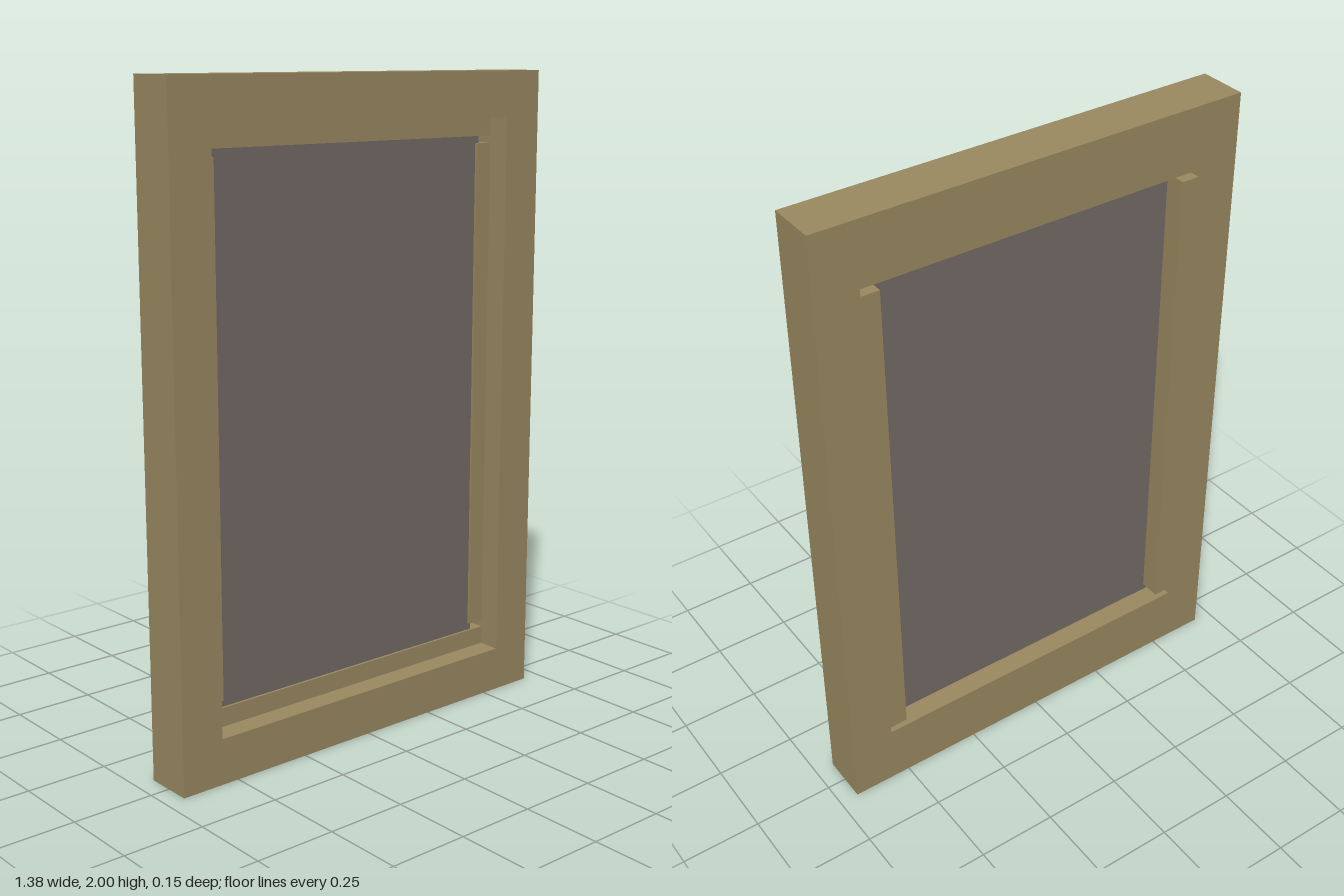
import * as THREE from 'three';

const W = 0.69, H = 1;                 // outer half sizes
const BACK = -0.077, STEP = 0.007, FRONT = 0.077;
const REBATE_X = 0.554, REBATE_Y = 0.86; // front opening
const STOP_X = 0.497, STOP_Y = 0.78;     // inner edge of the side stops
const SLOT_Y = 0.802;                    // outer edge of the corner slots

const rectangle = (x, y) => [[-x, -y], [x, -y], [x, y], [-x, y]];
const toPoints = (list) => list.map(([x, y]) => new THREE.Vector2(x, y));

// Rectangular slab pierced by one opening, from z0 to z1
function framePart(name, opening, z0, z1, material) {
  const shape = new THREE.Shape(toPoints(rectangle(W, H)));
  shape.holes.push(new THREE.Path(toPoints(opening)));
  const geometry = new THREE.ExtrudeGeometry(shape, { depth: z1 - z0, bevelEnabled: false });
  geometry.translate(0, H, z0);
  const mesh = new THREE.Mesh(geometry, material);
  mesh.name = name;
  return mesh;
}

export function createModel() {
  const group = new THREE.Group();
  group.name = 'framedWindow';
  const wood = new THREE.MeshStandardMaterial({ color: 0x9b8b62 });
  const glass = new THREE.MeshStandardMaterial({ color: 0x756b67 });

  // Front half with the wide rebate
  group.add(framePart('frontFrame', rectangle(REBATE_X, REBATE_Y), STEP, FRONT, wood));

  // Back half: narrower opening with a thin slot running sideways at each corner
  const backOpening = [
    [-REBATE_X, -SLOT_Y], [REBATE_X, -SLOT_Y], [REBATE_X, -STOP_Y], [STOP_X, -STOP_Y],
    [STOP_X, STOP_Y], [REBATE_X, STOP_Y], [REBATE_X, SLOT_Y], [-REBATE_X, SLOT_Y],
    [-REBATE_X, STOP_Y], [-STOP_X, STOP_Y], [-STOP_X, -STOP_Y], [-REBATE_X, -STOP_Y],
  ];
  group.add(framePart('backFrame', backOpening, BACK, STEP, wood));

  // Pane set into the side stops
  const pane = new THREE.Mesh(new THREE.BoxGeometry(1.02, SLOT_Y * 2, 0.01), glass);
  pane.name = 'pane';
  pane.position.set(0, H, -0.006);
  group.add(pane);

  return group;
}
